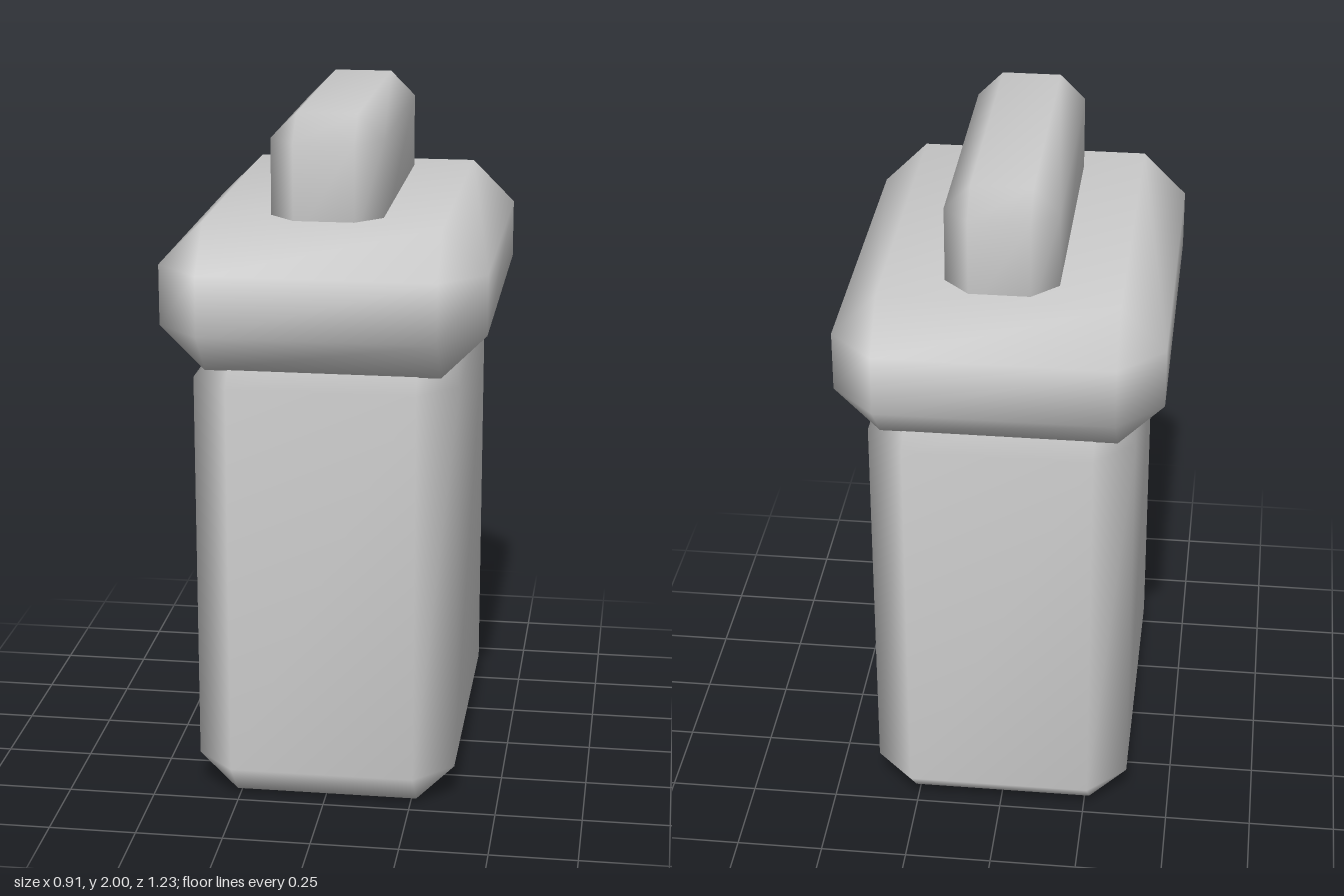
import * as THREE from 'three';
import { mergeVertices } from 'three/addons/utils/BufferGeometryUtils.js';

// Box with every edge cut by c, smooth-shaded: half width w, half depth d, from y0 to y1
function chamferedBox(w, d, y0, y1, c) {
  const a = w - c, b = d - c;
  const octagon = [[-a, d], [a, d], [w, b], [w, -b], [a, -d], [-a, -d], [-w, -b], [-w, b]];
  const inset = octagon.map(([x, z]) => [Math.sign(x) * a, Math.sign(z) * b]);
  const rings = [[inset, y0], [octagon, y0 + c], [octagon, y1 - c], [inset, y1]];
  const positions = rings.flatMap(([ring, y]) => ring.flatMap(([x, z]) => [x, y, z]));

  const index = [];
  for (let r = 0; r < 3; r++) {
    for (let i = 0; i < 8; i++) {
      const p = r * 8 + i, q = r * 8 + (i + 1) % 8;
      // Pairs of inset points coincide at corners, leaving one triangle there
      if (r > 0 || i % 2 === 0) index.push(p, q, q + 8);
      if (r < 2 || i % 2 === 0) index.push(p, q + 8, p + 8);
    }
  }
  index.push(0, 3, 1, 0, 5, 3); // bottom
  index.push(24, 25, 27, 24, 27, 29); // top

  const geometry = new THREE.BufferGeometry();
  geometry.setAttribute('position', new THREE.Float32BufferAttribute(positions, 3));
  geometry.setIndex(index);
  const welded = mergeVertices(geometry);
  welded.computeVertexNormals();
  return welded;
}

export function createModel() {
  const group = new THREE.Group();
  group.name = 'liddedContainer';
  const grey = new THREE.MeshStandardMaterial({ color: 0xcccccc });
  grey.name = 'light grey';

  const add = (name, ...size) => {
    const mesh = new THREE.Mesh(chamferedBox(...size), grey);
    mesh.name = name;
    group.add(mesh);
  };

  add('body', 0.374, 0.534, 0, 1.365, 0.11);
  add('lid', 0.453, 0.614, 1.295, 1.715, 0.125);
  add('handle', 0.156, 0.455, 1.58, 2, 0.072);
  return group;
}
